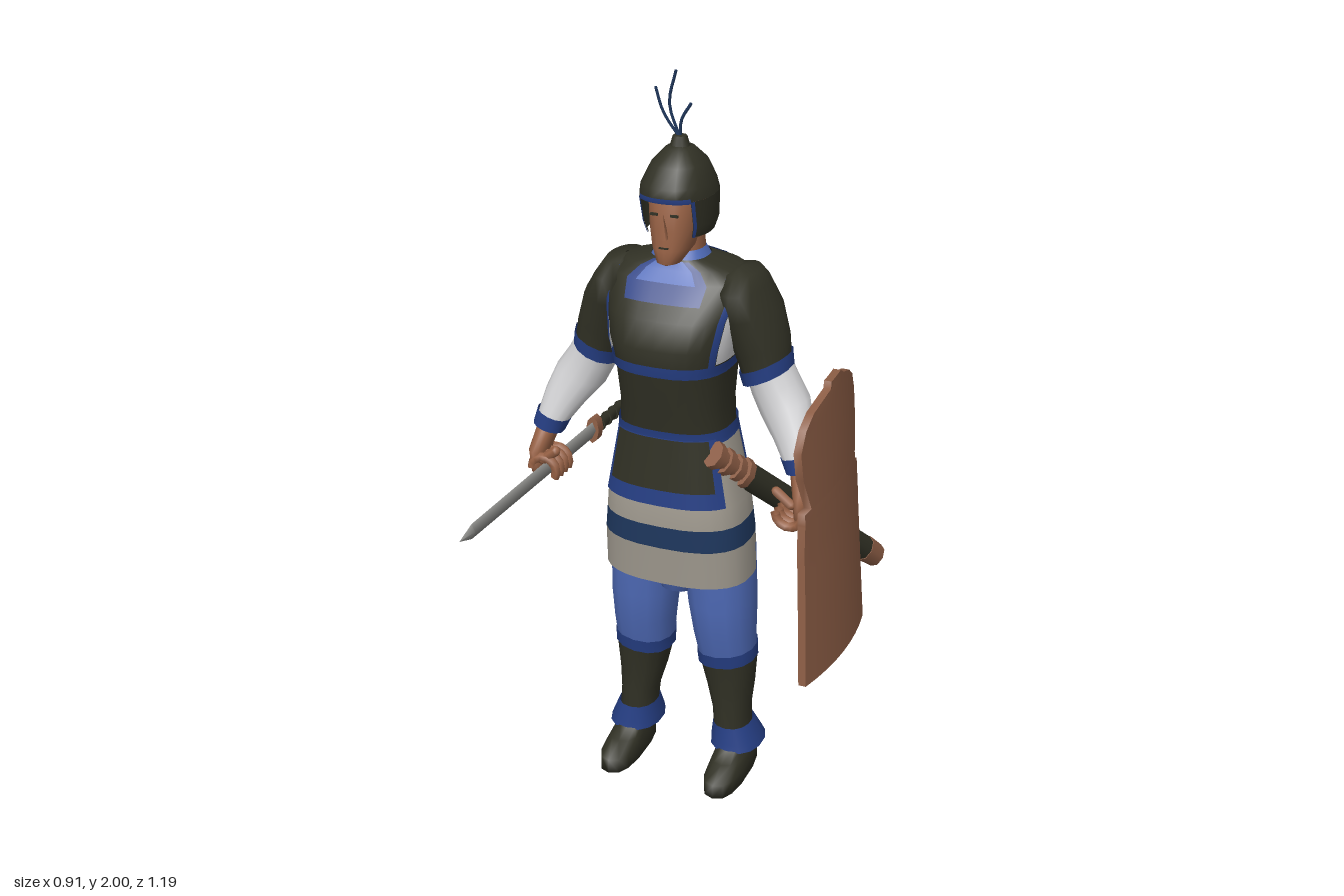
import * as THREE from 'three';
import { mergeVertices } from 'three/addons/utils/BufferGeometryUtils.js';

const CX = -0.05; // body centre line
const mat = (name, color) => Object.assign(
  new THREE.MeshStandardMaterial({ color, side: THREE.DoubleSide }), { name });
const M = {
  armour: mat('dark armour', 0x313125), trim: mat('blue trim', 0x263f85),
  cloth: mat('blue cloth', 0x4f6bb8), navy: mat('navy stripe', 0x1f385f),
  linen: mat('grey linen', 0xa39d92), white: mat('white sleeve', 0xd4d4d6),
  skin: mat('skin', 0x9a6346), wood: mat('brown wood', 0x8c5d45), steel: mat('steel', 0x8f8f8c),
};

// Row of a body profile: [y, offset from centre, half width, front z, back z, tilt]
function rowAt(table, y) {
  let k = 0;
  while (k < table.length - 2 && table[k + 1][0] < y) k++;
  const a = table[k], b = table[k + 1], t = (y - a[0]) / (b[0] - a[0]);
  return a.map((v, i) => v + ((b[i] ?? 0) - v) * t);
}

// Skin over a profile, whole or limited to a height range and angle range (0 = front)
function wrap(parent, name, material, table, o = {}) {
  const { range, from = 0, to = 360, off = 0, side = 1, n = 2.3, segs = 18 } = o;
  const rows = range
    ? [rowAt(table, range[0]), ...table.filter(r => r[0] > range[0] && r[0] < range[1]), rowAt(table, range[1])]
    : table;
  const pos = [], idx = [], pw = v => Math.sign(v) * Math.abs(v) ** (2 / n);
  rows.forEach(([y, d, hw, zf, zb, tilt = 0], j) => {
    for (let i = 0; i <= segs; i++) {
      const a = THREE.MathUtils.degToRad(from + (to - from) * i / segs);
      const dx = (hw + off) * pw(Math.sin(a));
      pos.push(CX + side * (d + dx), y + tilt * dx, (zf + zb) / 2 + ((zf - zb) / 2 + off) * pw(Math.cos(a)));
      if (!j || !i) continue;
      const q = j * (segs + 1) + i, p = q - segs - 1;
      if (side > 0) idx.push(p - 1, p, q, p - 1, q, q - 1);
      else idx.push(p, p - 1, q, q, p - 1, q - 1);
    }
  });
  let g = new THREE.BufferGeometry();
  g.setAttribute('position', new THREE.Float32BufferAttribute(pos, 3));
  g.setIndex(idx);
  g = mergeVertices(g, 1e-4);
  g.computeVertexNormals();
  return add(parent, name, material, g);
}

function add(parent, name, material, geo, x = 0, y = 0, z = 0) {
  const m = new THREE.Mesh(geo, material);
  m.name = name;
  m.position.set(x, y, z);
  parent.add(m);
  return m;
}

function group(parent, name) {
  const g = new THREE.Group();
  g.name = name;
  parent.add(g);
  return g;
}

// Tapered rod along local z
function rod(parent, name, material, z0, z1, rx, ry, end = 1, sides = 8) {
  const g = new THREE.CylinderGeometry(end, 1, z1 - z0, sides).rotateX(Math.PI / 2).scale(rx, ry, 1);
  return add(parent, name, material, g, 0, 0, (z0 + z1) / 2);
}

const TORSO = [
  [1.07, 0, .15, .1, -.14], [1.15, 0, .145, .115, -.15], [1.27, 0, .152, .14, -.17],
  [1.33, 0, .165, .148, -.176], [1.4, 0, .178, .125, -.178], [1.485, 0, .2, .06, -.17],
  [1.512, 0, .15, .035, -.15], [1.535, 0, .075, .025, -.11]];
const SKIRT = [[.64, 0, .207, .1, -.18], [.76, 0, .203, .115, -.178], [.88, 0, .19, .118, -.168], [1.08, 0, .15, .102, -.142]];
const HELMET = [[1.6, 0, .082, .05, -.13], [1.63, 0, .092, .06, -.142], [1.7, 0, .094, .083, -.148],
  [1.73, 0, .088, .085, -.14], [1.775, 0, .068, .05, -.115], [1.81, 0, .035, .01, -.075], [1.818, 0, .005, -.03, -.04]];
const HEAD = [[1.528, 0, .004, .06, .04], [1.535, 0, .03, .072, .0], [1.57, 0, .05, .074, -.07],
  [1.62, 0, .062, .07, -.1], [1.7, 0, .068, .068, -.11], [1.75, 0, .05, .04, -.1]];

function torso(root) {
  const g = group(root, 'torso');
  wrap(g, 'cuirass', M.armour, TORSO, { n: 2.6, segs: 28 });
  for (const [name, y0, y1] of [['belt', 1.06, 1.095], ['chestBand', 1.258, 1.288]])
    wrap(g, name, M.trim, [SKIRT[2], ...TORSO], { range: [y0, y1], off: .006, n: 2.6, segs: 28 });
  for (const mid of [0, 180]) {
    const panel = (name, m, table, range, half, off) =>
      wrap(g, name, m, table, { range, from: mid - half, to: mid + half, off, n: 2.6, segs: 10 });
    panel('necklineTrim', M.trim, TORSO, [1.44, 1.532], 26, .005);
    panel('necklineInset', M.cloth, TORSO, [1.485, 1.534], 17, .009);
    panel('tassetTrim', M.trim, SKIRT, [.885, 1.075], 57, .006);
    panel('tasset', M.armour, SKIRT, [.932, 1.075], 46, .011);
    for (const s of [-1, 1]) // armhole edging
      wrap(g, 'armholeTrim', M.trim, TORSO, { range: [1.275, 1.5], from: mid + s * 50, to: mid + s * 59, off: .005, n: 2.6, segs: 3 });
  }
  for (const a of [90, 270])
    wrap(g, 'sidePanel', M.white, TORSO, { range: [1.29, 1.43], from: a - 30, to: a + 30, off: .004, n: 2.6, segs: 8 });
  wrap(g, 'backStrip', M.trim, TORSO, { range: [1.09, 1.265], from: 173, to: 187, off: .005, n: 2.6, segs: 3 });
  wrap(g, 'collar', M.cloth, [[1.51, 0, .088, .035, -.12], [1.555, 0, .062, .015, -.1]]);
  for (const [name, m, y0, y1] of [['skirtHem', M.linen, .64, .755], ['skirtStripe', M.navy, .755, .82], ['skirt', M.linen, .82, 1.08]])
    wrap(g, name, m, SKIRT, { range: [y0, y1], n: 2.6, segs: 28 });
  wrap(g, 'pelvis', M.cloth, [[.572, 0, .005, -.05, -.06], [.58, 0, .06, .03, -.14], [.72, 0, .17, .06, -.16]]);
}

function head(root) {
  const g = group(root, 'head');
  wrap(g, 'neck', M.skin, [[1.5, 0, .06, .01, -.11], [1.64, 0, .055, .01, -.1]]);
  wrap(g, 'face', M.skin, HEAD);
  add(g, 'nose', M.skin, new THREE.ConeGeometry(.016, .065, 4).rotateY(Math.PI / 4), CX, 1.635, .075);
  for (const s of [-1, 1]) add(g, 'eye', M.armour, new THREE.BoxGeometry(.02, .006, .006), CX + s * .027, 1.662, .067);
  add(g, 'mouth', M.armour, new THREE.BoxGeometry(.024, .004, .006), CX, 1.578, .073);
  // helmet bowl, open below the brow
  wrap(g, 'helmetBowl', M.armour, HELMET, { range: [1.7, 1.818] });
  wrap(g, 'helmetGuard', M.armour, HELMET, { range: [1.6, 1.7], from: 42, to: 318 });
  wrap(g, 'browTrim', M.trim, HELMET, { range: [1.695, 1.708], from: -42, to: 42, off: .003 });
  for (const a of [42, 312])
    wrap(g, 'cheekTrim', M.trim, HELMET, { range: [1.6, 1.7], from: a, to: a + 6, off: .003, segs: 2 });
  add(g, 'helmetKnob', M.armour, new THREE.CylinderGeometry(.018, .028, .032, 10), CX, 1.822, -.035);
  for (const [dx, mid, y] of [[-.065, -.045, 1.955], [-.01, -.028, 2], [.03, .004, 1.922]]) {
    const c = new THREE.CatmullRomCurve3([[0, 1.83], [mid, 1.83 + (y - 1.83) * .5], [dx, y - .002]]
      .map(([x, h]) => new THREE.Vector3(CX + x, h, -.035)));
    add(g, 'plume', M.navy, new THREE.TubeGeometry(c, 8, .004, 4));
  }
}

function arm(root, side) {
  const g = group(root, side > 0 ? 'leftArm' : 'rightArm');
  const limb = (name, m, table) => wrap(g, name, m, table, { side, n: 2.1, segs: 14 });
  const cuff = [.235, .06, .035, -.13, .45];
  limb('sleeve', M.armour, [[1.262, ...cuff], [1.31, .222, .066, .04, -.145, .4], [1.4, .193, .07, .06, -.165, .2],
    [1.47, .172, .055, .07, -.165, 0], [1.505, .165, .04, .02, -.13, 0], [1.512, .155, .003, -.04, -.06, 0]]);
  limb('sleeveCuff', M.trim, [[1.235, .24, .063, .037, -.132, .45], [1.272, .232, .066, .042, -.138, .45]]);
  limb('forearm', M.white, [[1.045, .35, .04, .06, -.025, .4], [1.1, .325, .052, .045, -.06, .4],
    [1.16, .29, .064, .03, -.105, .4], [1.21, .26, .06, .025, -.115, .4], [1.26, .238, .055, .025, -.12, .4]]);
  limb('wristBand', M.trim, [[1.015, .362, .042, .065, -.015, .3], [1.055, .347, .045, .063, -.028, .35]]);
  limb('palm', M.skin, [[.885, .372, .005, .06, .03, 0], [.9, .376, .02, .095, .0, 0], [.96, .377, .026, .1, -.005, 0], [1.03, .358, .03, .055, -.01, .2]]);
  for (let i = 0; i < 4; i++) { // fingers curled around the fore-and-aft axis
    const f = add(g, 'finger', M.skin, new THREE.TorusGeometry(.036, .0135, 6, 8, 3.6), CX + side * .35, .912, .01 + i * .026);
    f.rotation.z = side > 0 ? -3.1 : -.5;
  }
  const thumb = add(g, 'thumb', M.skin, new THREE.CapsuleGeometry(.014, .05, 3, 6), CX + side * .335, .955, .085);
  thumb.rotation.z = side * .9;
}

function leg(root, side) {
  const g = group(root, side > 0 ? 'leftLeg' : 'rightLeg');
  const limb = (name, m, table, n = 2.2) => wrap(g, name, m, table, { side, n, segs: 14 });
  limb('trouser', M.cloth, [[.36, .125, .079, .01, -.158], [.45, .12, .086, .035, -.16], [.55, .115, .094, .05, -.163], [.72, .105, .098, .06, -.165]]);
  limb('kneeTrim', M.trim, [[.35, .126, .083, .015, -.162, .1], [.39, .124, .084, .022, -.163, .1]]);
  limb('boot', M.armour, [[.13, .146, .052, 0, -.13], [.2, .141, .053, 0, -.14], [.27, .134, .066, .0, -.155], [.362, .126, .081, .012, -.16]]);
  limb('bootCuff', M.trim, [[.078, .157, .075, .015, -.17], [.1, .153, .07, .01, -.16], [.15, .146, .055, .003, -.135]]);
  limb('shoe', M.armour, [[0, .16, 0, .0, 0], [0, .16, .052, .13, -.155], [.04, .16, .052, .127, -.155],
    [.065, .158, .047, .06, -.15], [.085, .155, .044, .01, -.145], [.14, .15, .04, -.015, -.12]], 2.6);
}

function shield(root) {
  const g = group(root, 'shield');
  // outline rows: [y, front edge z, back edge z]
  const rows = [[.53, .3, -.15], [.85, .272, -.165], [.9, .27, -.172], [.975, .258, -.175], [.98, .257, -.137], [1.01, .255, -.145],
    [1.013, .222, -.147], [1.1, .253, -.183], [1.17, .256, -.19], [1.22, .225, -.165], [1.25, .18, -.115], [1.27, .068, -.05], [1.287, .06, -.02]];
  const cols = 8, last = rows.length - 1;
  const geo = new THREE.BoxGeometry(1, 1, 1, 1, last, cols), p = geo.attributes.position;
  for (let i = 0; i < p.count; i++) {
    const [y0, zf, zb] = rows[Math.round((p.getY(i) + .5) * last)];
    const z = zb + (zf - zb) * (p.getZ(i) + .5);
    const y = y0 - (y0 < .6 ? (.3 - z) * .075 - .02 : 0); // sloping lower edge
    p.setXYZ(i, .384 + (1.29 - y) * .085 - .45 * (z - .06) ** 2 + p.getX(i) * .02, y, z);
  }
  geo.computeVertexNormals();
  add(g, 'shieldBoard', M.wood, geo);
  add(g, 'shieldGrip', M.wood, new THREE.CylinderGeometry(.014, .014, .2, 8), .372, .9, .05);
  for (const y of [.81, .99]) add(g, 'gripBracket', M.steel, new THREE.BoxGeometry(.045, .022, .05), .387, y, .05);
}

function weapons(root) {
  const sword = group(root, 'sword');
  sword.position.set(-.43, .862, -.53);
  sword.lookAt(-.375, .945, .59);
  rod(sword, 'pommel', M.steel, .06, 0, .015, .015, .4);
  sword.children[0].geometry.dispose();
  sword.clear();
  rod(sword, 'pommel', M.steel, 0, .06, .009, .009, 1.6);
  rod(sword, 'swordHandle', M.armour, .06, .25, .014, .018);
  for (let i = 0; i < 4; i++) rod(sword, 'handleRing', M.armour, .07 + i * .05, .082 + i * .05, .018, .022);
  rod(sword, 'swordGuard', M.wood, .25, .285, .02, .04);
  rod(sword, 'blade', M.steel, .285, 1.06, .011, .024, .85, 4);
  rod(sword, 'bladeTip', M.steel, 1.06, 1.126, .0094, .0204, .03, 4);

  const scabbard = group(root, 'scabbard');
  scabbard.position.set(.09, 1.045, .085);
  scabbard.lookAt(.35, .465, -.58);
  rod(scabbard, 'hilt', M.wood, 0, .15, .02, .026);
  for (const z of [0, .05, .1]) rod(scabbard, 'hiltRing', M.wood, z, z + .025, .028, .037);
  rod(scabbard, 'scabbardMouth', M.wood, .14, .165, .03, .042);
  rod(scabbard, 'sheath', M.armour, .165, .84, .026, .037);
  rod(scabbard, 'scabbardTip', M.wood, .84, .915, .028, .039, .9);
}

export function createModel() {
  const root = new THREE.Group();
  root.name = 'armouredSoldier';
  torso(root);
  head(root);
  for (const side of [1, -1]) {
    arm(root, side);
    leg(root, side);
  }
  shield(root);
  weapons(root);
  return root;
}
